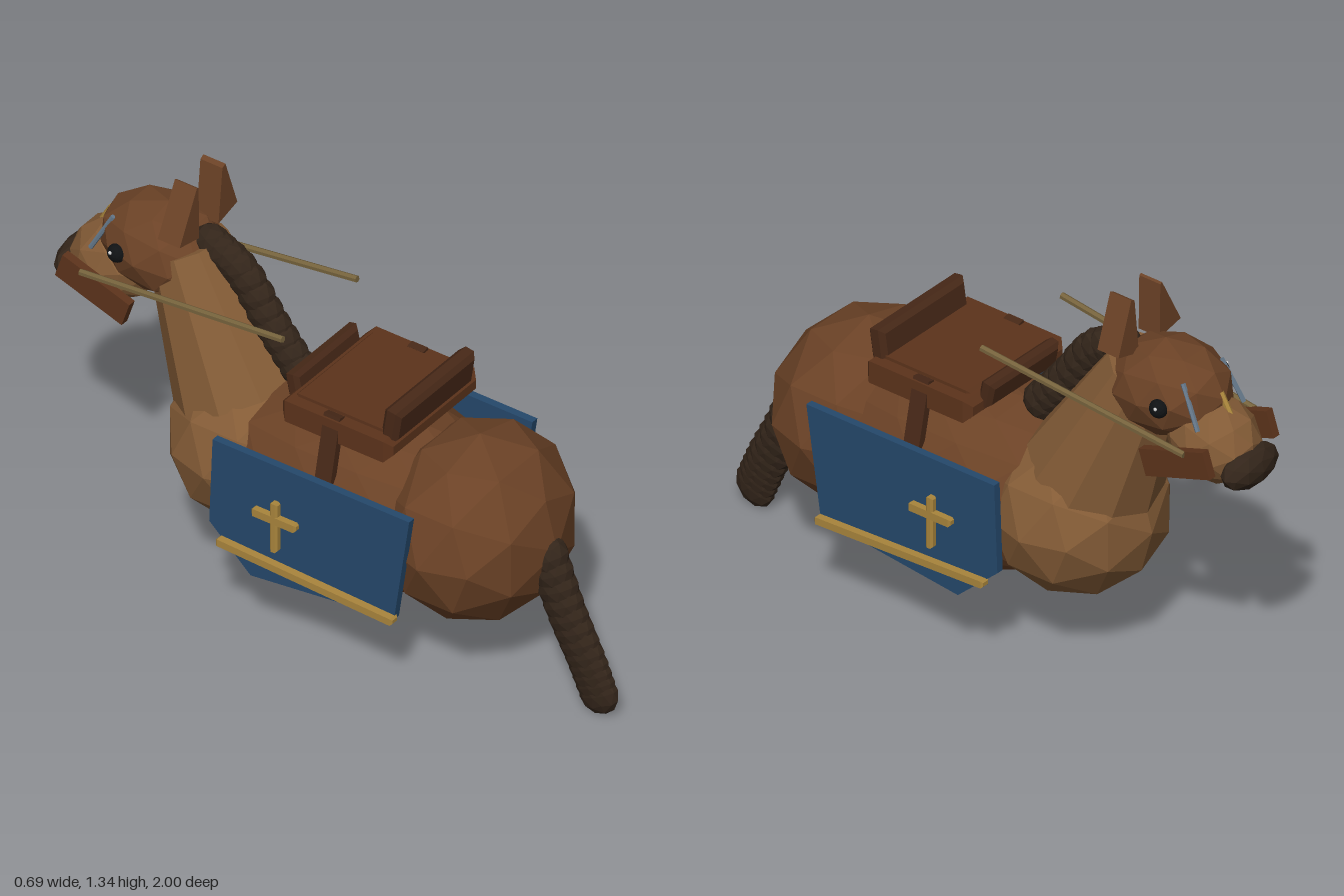
import * as THREE from 'three';

const V = (x, y, z) => new THREE.Vector3(x, y, z);
const mat = (color) => new THREE.MeshStandardMaterial({ color, flatShading: true });
const M = {
  coat: mat(0x6b4226), light: mat(0x835b36), mane: mat(0x33251a), leather: mat(0x5c331b),
  strap: mat(0x472817), blue: mat(0x25486b), gold: mat(0xa9853c), rein: mat(0x75623c),
  steel: mat(0x65788a), eye: mat(0x101214), glint: mat(0xe8e8e8),
};

export function createModel() {
  const model = new THREE.Group();
  model.name = 'toyHorse';

  const add = (name, geo, material, pos, rot = [0, 0, 0]) => {
    const mesh = new THREE.Mesh(geo, material);
    mesh.name = name;
    mesh.position.set(...pos);
    mesh.rotation.set(...rot);
    model.add(mesh);
    return mesh;
  };

  // Faceted ellipsoid
  const blob = (name, material, pos, r, detail = 1, rot) =>
    add(name, new THREE.IcosahedronGeometry(1, detail).scale(...r), material, pos, rot);

  // Tapered rod from a to b
  const rod = (name, material, a, b, ra, rb = ra, sides = 6) => {
    const dir = b.clone().sub(a);
    const mesh = add(name, new THREE.CylinderGeometry(rb, ra, dir.length(), sides), material,
      a.clone().add(b).multiplyScalar(0.5).toArray());
    mesh.quaternion.setFromUnitVectors(V(0, 1, 0), dir.normalize());
    return mesh;
  };

  // Box with chamfered edges
  const chamferBox = (w, h, d, c) => {
    const x = w / 2 - c, y = h / 2 - c;
    const s = new THREE.Shape([[-x, -y], [x, -y], [x, y], [-x, y]].map((p) => new THREE.Vector2(...p)));
    return new THREE.ExtrudeGeometry(s, {
      depth: d - 2 * c, bevelEnabled: true, bevelSize: c, bevelThickness: c, bevelSegments: 1,
    }).translate(0, 0, c - d / 2);
  };

  // Body and neck
  blob('barrel', M.coat, [0, 0.51, 0.1], [0.305, 0.305, 0.55], 2);
  blob('rump', M.coat, [0, 0.535, 0.5], [0.32, 0.31, 0.28]);
  blob('chest', M.light, [0, 0.51, -0.3], [0.285, 0.275, 0.275]);
  rod('neck', M.light, V(0, 0.66, -0.36), V(0, 1.09, -0.56), 0.215, 0.125, 10);

  // Head
  blob('head', M.coat, [0, 1.06, -0.645], [0.16, 0.155, 0.21], 1, [0.12, 0, 0]);
  blob('muzzle', M.light, [0, 0.94, -0.81], [0.13, 0.135, 0.155], 1, [-0.3, 0, 0]);
  blob('nose', M.mane, [0, 0.893, -0.945], [0.118, 0.066, 0.055], 1);

  // Ears are triangular prisms
  const earShape = new THREE.Shape();
  earShape.moveTo(0.05, 1.16);
  earShape.lineTo(0.145, 1.185);
  earShape.lineTo(0.085, 1.358);
  earShape.lineTo(0.07, 1.35);
  const leanShape = new THREE.Shape();
  leanShape.moveTo(-0.145, 1.185);
  leanShape.lineTo(-0.047, 1.165);
  leanShape.lineTo(-0.05, 1.348);
  leanShape.lineTo(-0.058, 1.352);
  [['leftEar', earShape], ['rightEar', leanShape]].forEach(([name, shape]) =>
    add(name, new THREE.ExtrudeGeometry(shape, { depth: 0.08, bevelEnabled: false }), M.coat, [0, 0, -0.565]));

  // Mane and tail are chains of overlapping lumps
  const chain = (name, points, count, radius) => {
    const curve = new THREE.CatmullRomCurve3(points);
    for (let i = 0; i < count; i++) {
      const t = i / (count - 1);
      blob(name, M.mane, curve.getPoint(t).toArray(), radius(t), 1, [0.6, 0, 0]);
    }
  };
  chain('mane', [V(0, 0.81, -0.16), V(0, 0.93, -0.26), V(0, 1.07, -0.365), V(0, 1.125, -0.47)], 11,
    () => [0.05, 0.065, 0.065]);
  chain('tail', [V(0, 0.505, 0.745), V(0, 0.33, 0.815), V(0, 0.19, 0.885), V(0, 0.085, 0.93)], 12,
    (t) => [0.056 - 0.022 * t, 0.075, 0.068]);

  // Saddle
  add('saddleSeat', chamferBox(0.46, 0.075, 0.4, 0.022), M.leather, [0, 0.832, 0.135]);
  add('saddlePad', chamferBox(0.38, 0.04, 0.33, 0.012), M.leather, [0, 0.86, 0.13]);
  add('cantle', chamferBox(0.395, 0.112, 0.06, 0.015), M.strap, [0, 0.905, 0.312], [0.15, 0, 0]);
  add('pommel', chamferBox(0.32, 0.085, 0.05, 0.013), M.strap, [0, 0.868, -0.068], [-0.2, 0, 0]);

  // Face strap
  rod('browBar', M.gold, V(0, 1.105, -0.835), V(0, 1.02, -0.885), 0.01);

  // Caparison panel profile in (-z, y)
  const panel = new THREE.Shape([
    [-0.475, 0.7], [-0.42, 0.325], [0.1, 0.265], [0.25, 0.4], [0.238, 0.7],
  ].map((p) => new THREE.Vector2(...p)));

  for (const s of [-1, 1]) {
    const side = s > 0 ? 'left' : 'right';

    // Eyes
    blob(side + 'Eye', M.eye, [s * 0.143, 1.07, -0.715], [0.026, 0.03, 0.03], 2);
    blob(side + 'EyeGlint', M.glint, [s * 0.167, 1.081, -0.722], [0.005, 0.006, 0.006], 1);

    // Bridle and reins
    add(side + 'CheekPiece', new THREE.BoxGeometry(0.028, 0.088, 0.255), M.leather,
      [s * 0.149, 0.915, -0.79], [0.32, 0, 0]);
    rod(side + 'FaceStrap', M.steel, V(s * 0.09, 1.15, -0.765), V(s * 0.108, 1.02, -0.835), 0.008);
    rod(side + 'Rein', M.rein, V(s * 0.187, 1.05, -0.08), V(s * 0.165, 0.965, -0.83), 0.011);

    // Girth strap
    add(side + 'GirthStrap', new THREE.BoxGeometry(0.025, 0.24, 0.058), M.strap,
      [s * 0.235, 0.76, 0.122], [0, 0, s * 0.22]);

    // Hanging cloth with trim and plain cross
    add(side + 'Cloth', new THREE.ExtrudeGeometry(panel, { depth: 0.025, bevelEnabled: false }), M.blue,
      [s * 0.31 - 0.0125, 0, 0], [0, Math.PI / 2, 0]);
    add(side + 'Trim', chamferBox(0.035, 0.024, 0.64, 0.006), M.gold,
      [s * 0.33, 0.341, 0.108], [0.04, 0, 0]);
    add(side + 'CrossUpright', chamferBox(0.03, 0.175, 0.026, 0.006), M.gold, [s * 0.329, 0.488, -0.005]);
    add(side + 'CrossArm', chamferBox(0.03, 0.026, 0.16, 0.006), M.gold, [s * 0.329, 0.515, -0.005]);
  }
  return model;
}
